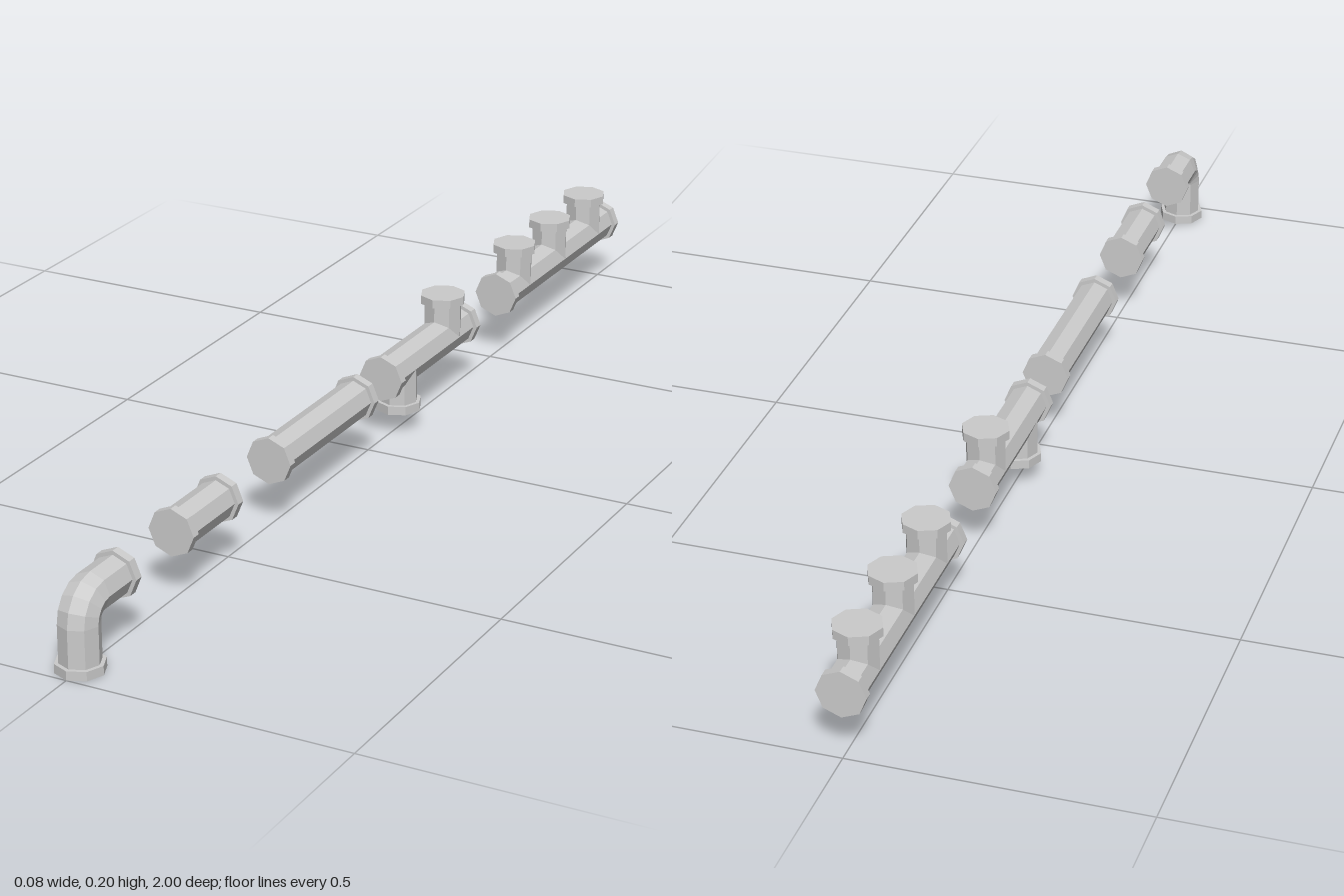
import * as THREE from 'three';

const SIDES = 8, R = 0.035, RIM_R = 0.042, RIM = 0.016, AXIS_Y = 0.118;
const grey = new THREE.MeshStandardMaterial({ color: 0xcccccc, flatShading: true });

function add(group, name, geometry) {
  const mesh = new THREE.Mesh(geometry, grey);
  mesh.name = name;
  group.add(mesh);
}

// Octagonal tube along z between z0 and z1
function alongZ(radius, z0, z1, open) {
  return new THREE.CylinderGeometry(radius, radius, Math.abs(z1 - z0), SIDES, 1, open)
    .rotateX(Math.PI / 2).translate(0, AXIS_Y, (z0 + z1) / 2);
}

// Octagonal tube along y between y0 and y1, at depth z
function alongY(radius, y0, y1, z, open) {
  return new THREE.CylinderGeometry(radius, radius, Math.abs(y1 - y0), SIDES, 1, open)
    .translate(0, (y0 + y1) / 2, z);
}

// Vertical outlet from the main axis up or down, ending in a rim
function addBranch(group, z, endY) {
  const dir = Math.sign(endY - AXIS_Y);
  add(group, 'branchPipe', alongY(R, AXIS_Y, endY - dir * RIM / 2, z, true));
  add(group, 'branchRim', alongY(RIM_R, endY - dir * RIM, endY, z, false));
}

// Straight pipe with a rim at each end and optional outlets [z, endY]
function straightPipe(name, front, back, branches = []) {
  const group = new THREE.Group();
  group.name = name;
  add(group, 'pipe', alongZ(R, front - RIM / 2, back + RIM / 2, true));
  add(group, 'frontRim', alongZ(RIM_R, front, front - RIM, false));
  add(group, 'backRim', alongZ(RIM_R, back, back + RIM, false));
  for (const [z, y] of branches) addBranch(group, z, y);
  return group;
}

// Ninety degree bend from a downward outlet to a backward outlet
function elbow() {
  const group = new THREE.Group();
  group.name = 'elbowPipe';
  const bend = 0.036, z = 1 - RIM_R, cy = AXIS_Y - bend, cz = z - bend, back = 0.84;
  add(group, 'lowerPipe', alongY(R, RIM / 2, cy, z, true));
  add(group, 'bend', new THREE.TorusGeometry(bend, R, SIDES, 4, Math.PI / 2)
    .rotateY(-Math.PI / 2).translate(0, cy, cz));
  add(group, 'backPipe', alongZ(R, cz, back + RIM / 2, true));
  add(group, 'lowerRim', alongY(RIM_R, 0, RIM, z, false));
  add(group, 'backRim', alongZ(RIM_R, back, back + RIM, false));
  return group;
}

export function createModel() {
  const model = new THREE.Group();
  model.name = 'pipeSet';
  const top = 0.198, low = 0.039;
  model.add(
    elbow(),
    straightPipe('shortPipe', 0.68, 0.52),
    straightPipe('longPipe', 0.36, 0.04),
    straightPipe('doubleBranchPipe', -0.048, -0.368, [[-0.118, low], [-0.295, top]]),
    straightPipe('tripleBranchPipe', -0.52, -1, [[-0.6, top], [-0.76, top], [-0.92, top]]),
  );
  return model;
}
